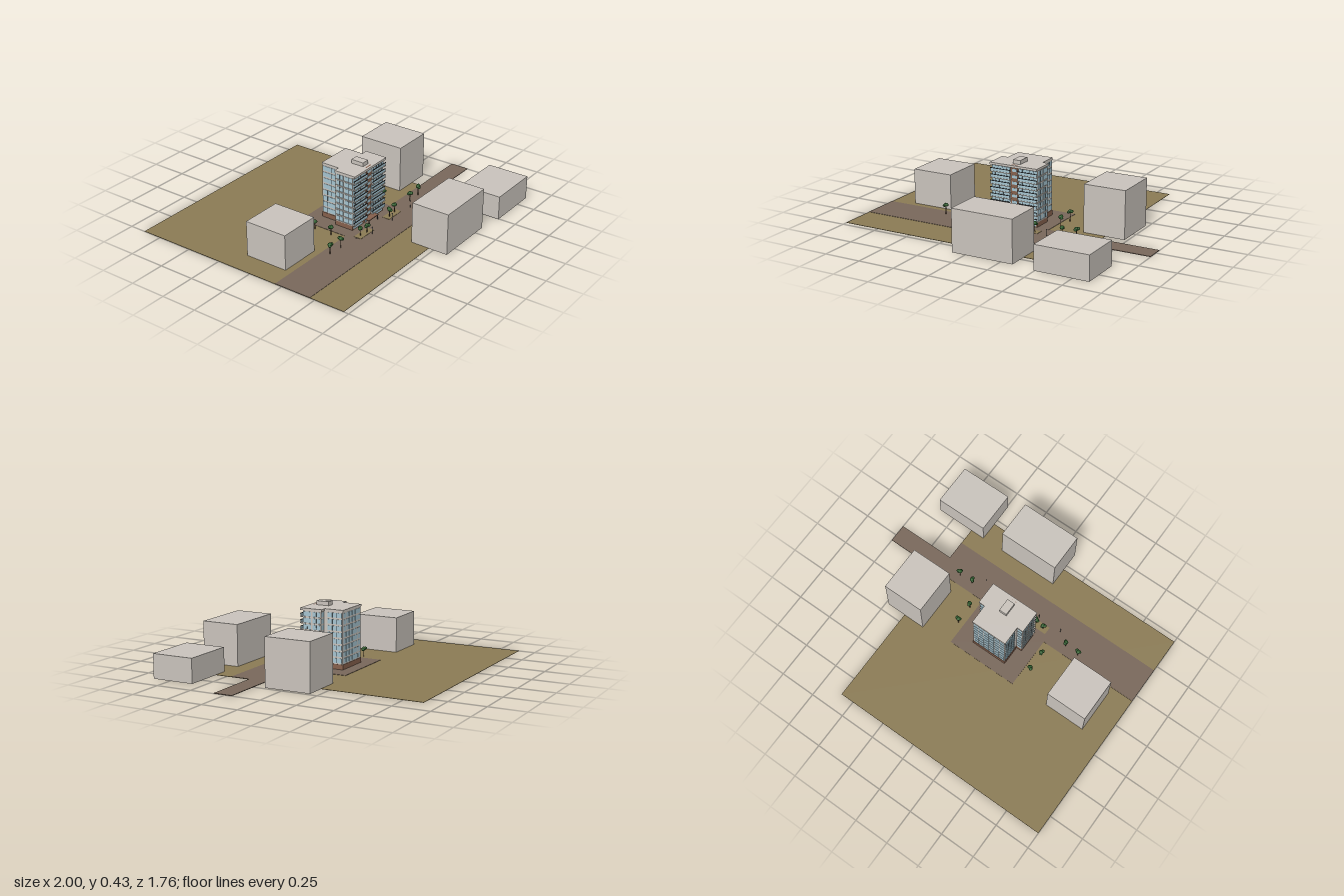
import * as THREE from 'three';

const mat = (name, color) => {
  const m = new THREE.MeshStandardMaterial({ color });
  m.name = name;
  return m;
};

export function createModel() {
  const concrete = mat('paleConcrete', 0xc8c2bb);
  const earth = mat('dryGrass', 0x8a7a54);
  const paving = mat('brownPaving', 0x78675a);
  const brick = mat('brownCladding', 0x85604c);
  const glass = mat('blueGlass', 0xa4c3cf);
  const frame = mat('darkFrame', 0x33383c);
  const leaf = mat('leafGreen', 0x2c5a2a);
  const bark = mat('bark', 0x54402f);

  const model = new THREE.Group();
  model.name = 'towerBlockSite';

  const group = (name) => {
    const g = new THREE.Group();
    g.name = name;
    model.add(g);
    return g;
  };
  // Box given by its limits on each axis
  const box = (parent, name, m, x0, x1, y0, y1, z0, z1) => {
    const mesh = new THREE.Mesh(new THREE.BoxGeometry(x1 - x0, y1 - y0, z1 - z0), m);
    mesh.position.set((x0 + x1) / 2, (y0 + y1) / 2, (z0 + z1) / 2);
    mesh.name = name;
    parent.add(mesh);
    return mesh;
  };

  // Ground, road and paved yard
  const site = group('site');
  box(site, 'ground', earth, -1, 0.595, 0, 0.002, -0.885, 0.715);
  box(site, 'road', paving, -1, 0.595, 0.001, 0.004, 0.2, 0.465);
  box(site, 'roadExtension', paving, 0.595, 1, 0, 0.004, 0.2, 0.33);
  box(site, 'yard', paving, -0.285, 0.225, 0.001, 0.004, -0.165, 0.2);
  for (const [x0, x1] of [[-0.26, -0.115], [0.06, 0.2]])
    box(site, 'plantingBed', earth, x0, x1, 0.003, 0.006, 0.25, 0.305);

  // Plain neighbouring blocks: x0, x1, z0, z1, height
  const neighbours = group('neighbours');
  for (const [x0, x1, z0, z1, h] of [
    [-0.84, -0.55, -0.152, 0.153, 0.245],
    [0.44, 0.73, -0.19, 0.13, 0.325],
    [-0.095, 0.333, 0.583, 0.849, 0.285],
    [0.493, 0.862, 0.583, 0.877, 0.165],
  ]) box(neighbours, 'neighbourBlock', concrete, x0, x1, 0, h, z0, z1);

  // Tower: front and rear wings over a clad base
  const tower = group('tower');
  const base = 0.038, roof = 0.4, floors = 8, step = 0.043;
  box(tower, 'frontBase', brick, -0.2, 0.14, 0.003, base, 0.06, 0.195);
  box(tower, 'rearBase', brick, -0.16, 0.1, 0.003, base, -0.08, 0.06);
  box(tower, 'frontWing', concrete, -0.2, 0.14, base, 0.39, 0.06, 0.195);
  box(tower, 'rearWing', concrete, -0.157, 0.097, base, 0.39, -0.077, 0.06);
  box(tower, 'frontRoof', concrete, -0.205, 0.145, 0.385, roof, 0.055, 0.215);
  box(tower, 'rearRoof', concrete, -0.16, 0.1, 0.385, roof, -0.08, 0.055);
  box(tower, 'roofHouse', concrete, -0.055, 0, roof, 0.427, 0.08, 0.172);
  box(tower, 'stairStrip', brick, -0.055, 0, base, roof, 0.19, 0.2);

  for (let i = 0; i < floors; i++) {
    const y = base + i * step;
    const w0 = y + 0.008, w1 = y + 0.039;
    // Front bays: balcony slab, glazing, glass rail and dark handrail
    for (const [x0, x1] of [[-0.203, -0.055], [0, 0.143]]) {
      box(tower, 'balconySlab', concrete, x0, x1, y, y + 0.006, 0.19, 0.215);
      box(tower, 'frontGlazing', glass, x0 + 0.006, x1 - 0.006, w0, w1, 0.192, 0.198);
      box(tower, 'balconyRail', glass, x0 + 0.002, x1 - 0.002, y + 0.006, y + 0.022, 0.211, 0.213);
      box(tower, 'handrail', frame, x0, x1, y + 0.022, y + 0.026, 0.21, 0.214);
      for (let k = 1; k < 5; k++) {
        const x = x0 + (x1 - x0) * k / 5;
        box(tower, 'frontMullion', frame, x - 0.001, x + 0.001, w0, w1, 0.197, 0.199);
      }
    }
    box(tower, 'stairWindow', glass, -0.046, -0.009, y + 0.016, y + 0.035, 0.197, 0.202);

    // Side glazing, mirrored about the tower's centre line
    for (const s of [-1, 1]) {
      const side = (name, m, half, z0, z1, a, b, d) => {
        const x = -0.03 + s * half;
        box(tower, name, m, x - d, x + d, a, b, z0, z1);
      };
      side('frontSideWindow', glass, 0.17, 0.134, 0.192, w0, w1, 0.002);
      side('frontSideWindow', glass, 0.17, 0.068, 0.122, w0, w1, 0.002);
      side('rearSideWindow', glass, 0.127, -0.07, 0.035, w0, w1, 0.002);
      side('frontSideLedge', concrete, 0.17, 0.06, 0.195, y, y + 0.006, 0.004);
      for (const z of [0.095, 0.163])
        side('sideMullion', frame, 0.17, z - 0.001, z + 0.001, w0, w1, 0.003);
      for (const z of [-0.035, 0])
        side('sideMullion', frame, 0.127, z - 0.001, z + 0.001, w0, w1, 0.003);
    }

    // Rear windows and the exposed back of the front wing
    for (let k = 0; k < 6; k++) {
      const x = -0.152 + k * 0.041;
      box(tower, 'rearWindow', glass, x, x + 0.036, w0, w1, -0.079, -0.075);
    }
    for (const x of [-0.195, 0.103])
      box(tower, 'returnWindow', glass, x, x + 0.032, w0, w1, 0.058, 0.062);
  }

  // Entrance with canopy on thin posts
  const entrance = group('entrance');
  box(entrance, 'canopy', brick, -0.085, 0.025, 0.036, 0.042, 0.195, 0.245);
  box(entrance, 'entranceDoors', glass, -0.06, 0, 0.004, 0.032, 0.193, 0.198);
  for (const x of [-0.08, 0.02])
    box(entrance, 'canopyPost', frame, x - 0.002, x + 0.002, 0.003, 0.037, 0.238, 0.242);
  for (const [x0, x1] of [[-0.19, -0.095], [0.035, 0.13]])
    box(entrance, 'groundFloorWindow', glass, x0, x1, 0.01, 0.032, 0.193, 0.198);

  // Street lamps
  const lamps = group('streetLamps');
  for (const x of [-0.335, -0.16, 0.065, 0.28]) {
    box(lamps, 'lampPost', frame, x - 0.001, x + 0.001, 0.003, 0.054, 0.324, 0.326);
    box(lamps, 'lampHead', frame, x - 0.003, x + 0.003, 0.053, 0.055, 0.321, 0.329);
  }

  // Trees: x, z, crown height, with a crown of overlapping faceted clumps
  const trees = group('trees');
  const clump = new THREE.IcosahedronGeometry(1, 1);
  const trunk = new THREE.CylinderGeometry(0.002, 0.003, 1, 6);
  [
    [-0.523, 0.256, 0.068], [-0.42, 0.264, 0.068], [-0.225, 0.276, 0.058],
    [-0.165, 0.285, 0.055], [0.092, 0.284, 0.058], [0.165, 0.275, 0.06],
    [0.36, 0.267, 0.06], [0.46, 0.266, 0.068], [-0.325, -0.015, 0.056],
    [-0.323, 0.114, 0.058], [0.265, -0.02, 0.07], [0.267, 0.114, 0.07],
  ].forEach(([x, z, h], i) => {
    const tree = new THREE.Group();
    tree.name = 'tree';
    tree.position.set(x, 0, z);
    tree.rotation.y = i * 1.9;
    const stem = new THREE.Mesh(trunk, bark);
    stem.name = 'trunk';
    stem.scale.y = h;
    stem.position.y = h / 2 + 0.002;
    tree.add(stem);
    for (const [dx, dy, dz, r] of [[0, 0.002, 0, 0.015], [0.011, 0.004, 0.004, 0.012], [-0.009, -0.003, 0.005, 0.011]]) {
      const crown = new THREE.Mesh(clump, leaf);
      crown.name = 'crown';
      crown.position.set(dx, h + dy, dz);
      crown.scale.set(r, r * 0.9, r);
      tree.add(crown);
    }
    trees.add(tree);
  });

  return model;
}
